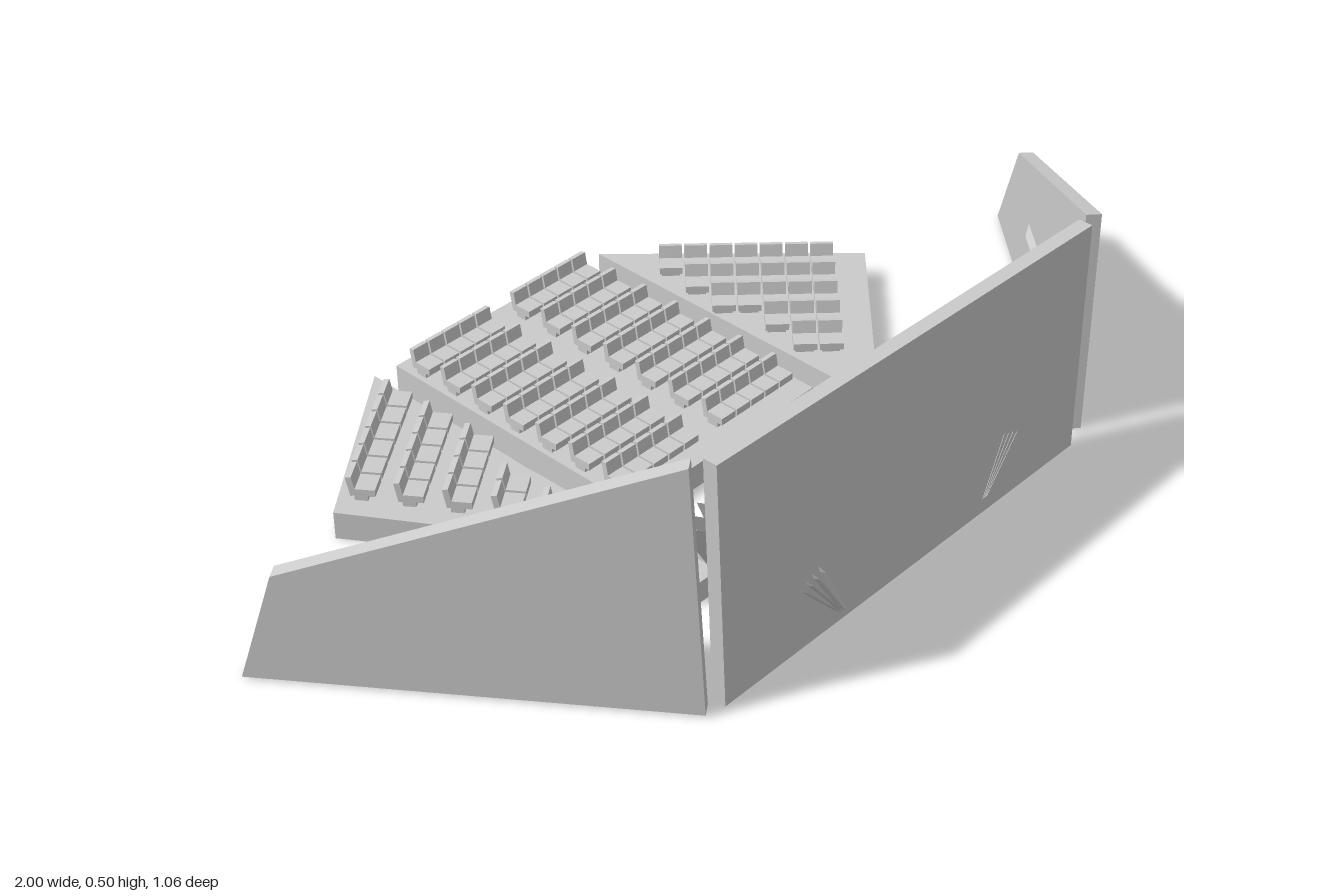
import * as THREE from 'three';
import { mergeGeometries } from 'three/addons/utils/BufferGeometryUtils.js';

const grey = new THREE.MeshStandardMaterial({ color: 0xcccccc, flatShading: true });
const thin = new THREE.MeshStandardMaterial({ color: 0xcccccc, flatShading: true, side: THREE.DoubleSide });

function add(parent, geometry, name, material = grey) {
  const mesh = new THREE.Mesh(geometry, material);
  mesh.name = name;
  parent.add(mesh);
  return mesh;
}

const polygon = pts => new THREE.Shape(pts.map(p => new THREE.Vector2(p[0], p[1])));

// Upright slab whose profile (distance along wall, height) runs from p0 towards p1
function wall(parent, name, p0, p1, profile, thickness = 0.028) {
  const group = new THREE.Group();
  group.name = name;
  group.position.set(p0[0], 0.004, p0[1]);
  group.rotation.y = Math.atan2(p0[1] - p1[1], p1[0] - p0[0]);
  const geo = new THREE.ExtrudeGeometry(polygon(profile), { depth: thickness, bevelEnabled: false });
  geo.translate(0, 0, -thickness / 2);
  add(group, geo, name + 'Slab');
  parent.add(group);
  return group;
}

// Shallow tapered panel fixed to one face of a wall
function acousticPanel(wallGroup, t, y, side) {
  const geo = new THREE.CylinderGeometry(0.4, Math.SQRT1_2, 1, 4, 1);
  geo.rotateY(Math.PI / 4);
  geo.translate(0, 0.5, 0);
  geo.rotateX(side * Math.PI / 2);
  geo.scale(0.115, 0.058, 0.011);
  geo.translate(t, y, side * 0.014);
  add(wallGroup, geo, 'acousticPanel');
}

// Seating floor rises gently away from the stage
const floorY = z => 0.05 + 0.018 * (0.1 - z);

// Raked platform from a plan outline of (x, z) points
function platform(parent, name, plan) {
  const geo = new THREE.ExtrudeGeometry(polygon(plan.map(([x, z]) => [x, -z])), { depth: 1, bevelEnabled: false });
  geo.rotateX(-Math.PI / 2);
  const pos = geo.attributes.position;
  for (let i = 0; i < pos.count; i++) {
    if (pos.getY(i) > 0.5) pos.setY(i, floorY(pos.getZ(i)));
  }
  geo.computeVertexNormals();
  add(parent, geo, name);
}

// One chair: cushion, leaning backrest and pedestal, facing +z
function chairGeometry() {
  const cushion = new THREE.BoxGeometry(0.036, 0.014, 0.038);
  cushion.translate(0, 0.021, 0.008);
  const back = new THREE.BoxGeometry(0.036, 0.04, 0.011);
  back.rotateX(-0.18);
  back.translate(0, 0.033, -0.016);
  const pedestal = new THREE.BoxGeometry(0.028, 0.016, 0.024);
  pedestal.translate(0, 0.008, 0);
  return mergeGeometries([cushion, back, pedestal]);
}
const chair = chairGeometry();

// Row of chairs spread evenly between two plan points
function seatRow(parent, a, b, count, turn) {
  const pitch = Math.hypot(b[0] - a[0], b[1] - a[1]) / count;
  for (let i = 0; i < count; i++) {
    const k = (i + 0.5) / count;
    const x = a[0] + (b[0] - a[0]) * k, z = a[1] + (b[1] - a[1]) * k;
    const seat = add(parent, chair, 'seat');
    seat.position.set(x, floorY(z), z);
    seat.rotation.y = turn;
    seat.scale.x = pitch / 0.04;
  }
}

// Fan of leaning plates that runs into the front wall
function plateFan(parent, name, cx, side, endZ, endShift) {
  const group = new THREE.Group();
  group.name = name;
  for (let i = 0; i < 4; i++) {
    const s = i * 0.022;
    const corners = [
      [-0.012 + s * 0.6, 0.03, 0.31], [0.06 + s, 0.24 - i * 0.014, 0.31], [0.052 + s, 0.255 - i * 0.014, 0.36],
      [endShift + 0.025 + s * 0.7, 0.15 - i * 0.005, endZ], [endShift - 0.035 + s * 0.2, 0.035, endZ]
    ].map(([x, y, z]) => new THREE.Vector3(cx + side * x, y, z));
    const geo = new THREE.BufferGeometry().setFromPoints(corners);
    geo.setIndex([0, 1, 2, 0, 2, 3, 0, 3, 4]);
    geo.computeVertexNormals();
    add(group, geo, 'plate', thin);
  }
  parent.add(group);
}

export function createModel() {
  const model = new THREE.Group();
  model.name = 'auditorium';

  // Enclosing walls
  wall(model, 'frontWall', [-0.543, 0.498], [0.43, 0.498],
    [[0.023, 0], [0.973, 0], [0.973, 0.476], [0, 0.501]]);
  const rightWall = wall(model, 'rightWall', [-0.546, 0.495], [-0.988, -0.13],
    [[0, 0], [0.765, 0], [0.698, 0.218], [0.026, 0.496]]);
  const leftWall = wall(model, 'leftWall', [0.475, 0.485], [0.99, -0.06],
    [[0, 0], [0.75, 0], [0.59, 0.246], [0, 0.466]]);
  for (const [t, y] of [[0.15, 0.23], [0.43, 0.14]]) {
    acousticPanel(rightWall, t + 0.04, y, 1);
    acousticPanel(leftWall, t - 0.04, y, -1);
  }

  // Stage steps
  const stage = new THREE.Group();
  stage.name = 'stage';
  model.add(stage);
  add(stage, new THREE.BoxGeometry(0.625, 0.045, 0.08), 'lowerStep').position.set(-0.048, 0.0225, 0.265);
  add(stage, new THREE.BoxGeometry(0.53, 0.025, 0.055), 'upperStep').position.set(-0.045, 0.0575, 0.282);

  plateFan(model, 'rightPlateFan', -0.285, -1, 0.525, -0.02);
  plateFan(model, 'leftPlateFan', 0.215, 0.85, 0.513, -0.03);

  // Seating platforms
  platform(model, 'centrePlatform', [[-0.285, 0.085], [0.2, 0.085], [0.2, -0.525], [-0.285, -0.53]]);
  platform(model, 'leftPlatform', [[0.25, 0.09], [0.325, 0.135], [0.62, -0.135], [0.25, -0.52]]);
  platform(model, 'rightPlatform', [[-0.4, 0.11], [-0.335, 0.08], [-0.335, -0.535], [-0.655, -0.285]]);

  // Centre seats in two blocks
  const seats = new THREE.Group();
  seats.name = 'seats';
  model.add(seats);
  for (let r = 0; r < 7; r++) {
    const z = -0.472 + r * 0.083;
    seatRow(seats, [-0.28, z], [-0.08, z], 5, 0);
    seatRow(seats, [-0.02, z], [0.18, z], 5, 0);
  }

  // Side seats, rows shortening towards the stage
  [7, 6, 5, 3, 2].forEach((count, r) => {
    const x = 0.53 - r * 0.048, z = -0.14 + r * 0.046;
    const reach = count * 0.05 * Math.SQRT1_2;
    seatRow(seats, [x - reach, z - reach], [x, z], count, -Math.PI / 4);
  });
  [6, 5, 4, 2, 1].forEach((count, r) => {
    const x = -0.605 + r * 0.046, z = -0.27 + r * 0.074;
    const reach = count * 0.05;
    seatRow(seats, [x, z], [x + reach * 0.82, z - reach * 0.57], count, 0.61);
  });

  return model;
}
